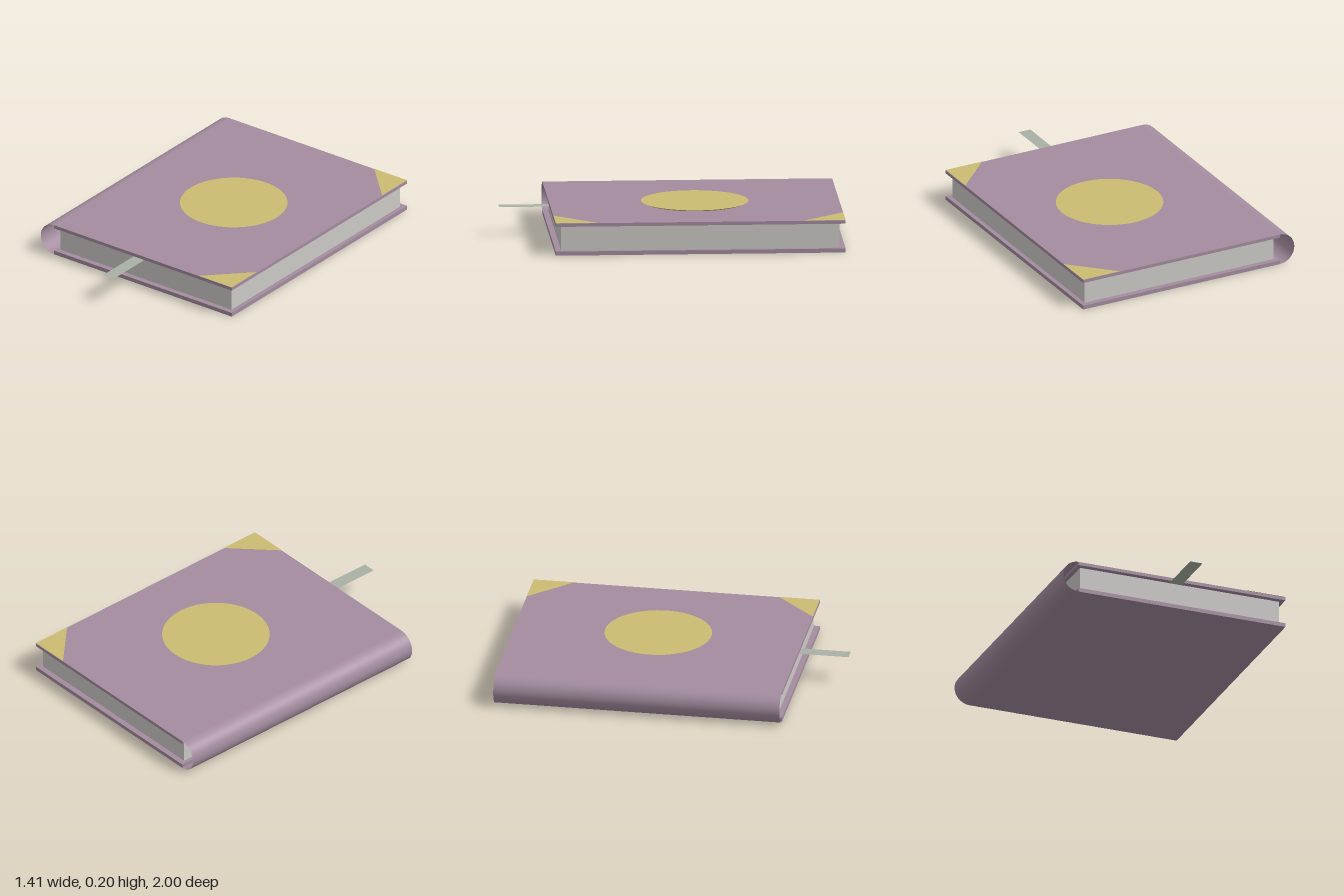
import * as THREE from 'three';

const flat = (name, color, side = THREE.FrontSide) => {
  const m = new THREE.MeshStandardMaterial({ color, side });
  m.name = name;
  return m;
};

export function createModel() {
  const book = new THREE.Group();
  book.name = 'book';
  const cover = flat('mauve cover', 0xa38c9f, THREE.DoubleSide);
  const gold = flat('gold', 0xcbbb72, THREE.DoubleSide);
  const paper = flat('paper', 0xcccac7);
  const cloth = flat('ribbon cloth', 0xa9b0a6, THREE.DoubleSide);

  const add = (name, geometry, material) => {
    const mesh = new THREE.Mesh(geometry, material);
    mesh.name = name;
    book.add(mesh);
    return mesh;
  };
  // Box given by its minimum and maximum corners
  const block = (name, material, [x0, y0, z0], [x1, y1, z1]) =>
    add(name, new THREE.BoxGeometry(x1 - x0, y1 - y0, z1 - z0), material)
      .position.set((x0 + x1) / 2, (y0 + y1) / 2, (z0 + z1) / 2);

  // Boards and page block
  const back = -1, front = 0.705, right = 0.703, hinge = -0.608, top = 0.192;
  block('bottomCover', cover, [hinge, 0, back], [right, 0.024, front]);
  block('topCover', cover, [hinge, 0.172, back], [right, top, front]);
  block('pages', paper, [-0.585, 0.024, -0.966], [0.676, 0.172, 0.672]);

  // Open half-round spine
  const spine = new THREE.CylinderGeometry(top / 2, top / 2, front - back, 32, 1, true, Math.PI, Math.PI);
  spine.rotateX(Math.PI / 2);
  add('spine', spine, cover).position.set(hinge, top / 2, (front + back) / 2);

  // Round medallion, slightly undercut
  add('medallion', new THREE.CylinderGeometry(0.316, 0.295, 0.009, 64), gold)
    .position.set(0.07, top + 0.0045, -0.149);

  // Triangular plates on the two outer corners
  for (const [name, z, dir] of [['backCorner', back, 1], ['frontCorner', front, -1]]) {
    const size = 0.243;
    const shape = new THREE.Shape([
      new THREE.Vector2(right - size, -z),
      new THREE.Vector2(right, -z),
      new THREE.Vector2(right, -z - dir * size),
    ]);
    const plate = new THREE.ShapeGeometry(shape);
    plate.rotateX(-Math.PI / 2);
    add(name, plate, gold).position.y = top + 0.002;
  }

  // Flat ribbon bookmark lying just under the top board
  const ribbon = new THREE.PlaneGeometry(0.078, 0.4);
  ribbon.rotateX(-Math.PI / 2);
  add('ribbon', ribbon, cloth).position.set(0.019, 0.171, 0.8);

  return book;
}
